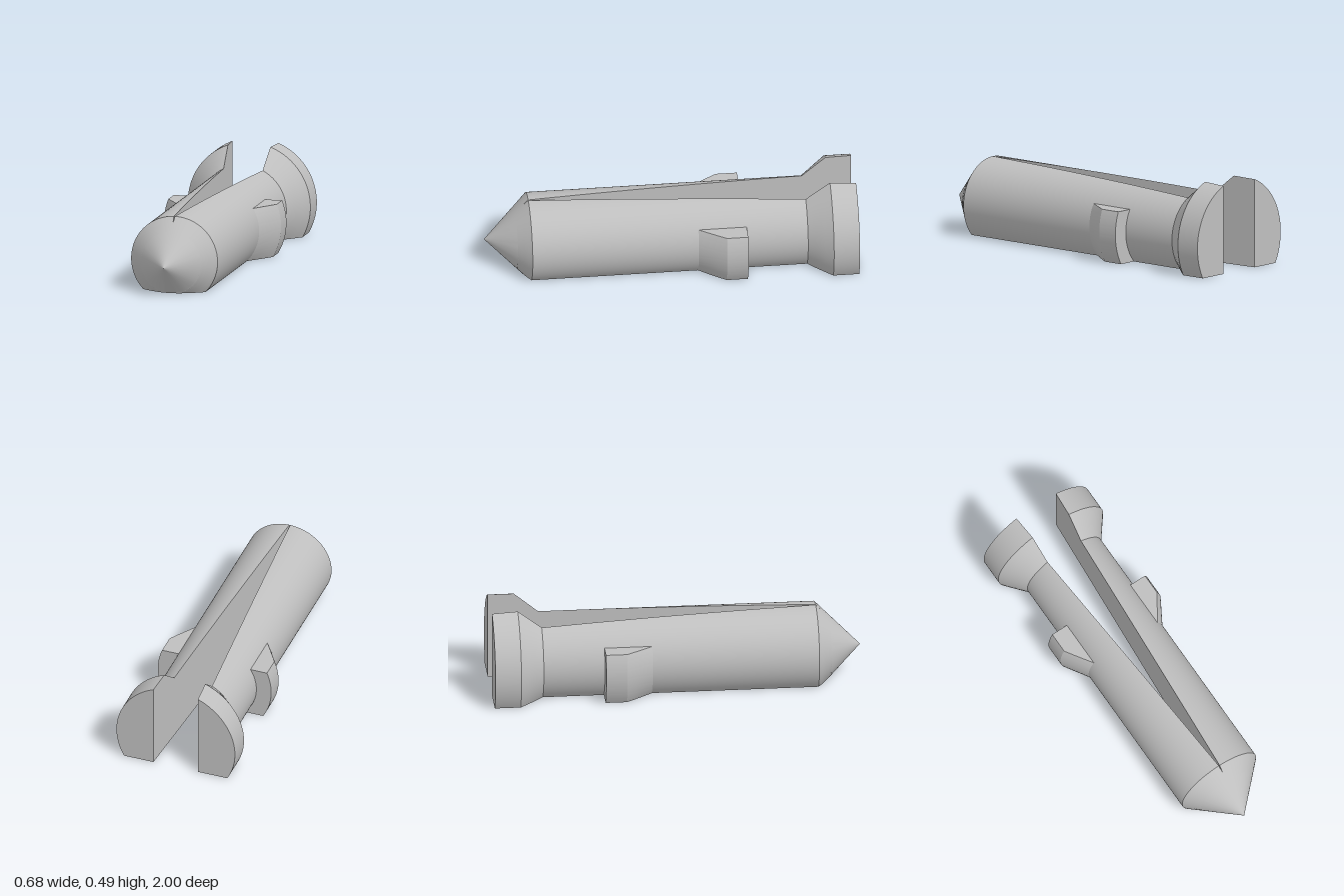
import * as THREE from 'three';
import { toCreasedNormals } from 'three/addons/utils/BufferGeometryUtils.js';

const AXIS = 0.167;      // height of the pin axis above the flat underside
const R = 0.24;          // shank radius
const SLOT_END = 0.795;  // z where the wedge slot closes
const ARC = 36;

const slot = z => Math.max(0, 0.0711 * (SLOT_END - z));

// One half cross-section: flat bottom, round outside, straight inner wall
function section(z, r, inner, top) {
  const a0 = r > AXIS ? -Math.asin(AXIS / r) : -Math.PI / 2;
  const a1 = r === 0 ? Math.PI / 2
    : top === undefined ? Math.acos(inner / r) : Math.asin((top - AXIS) / r);
  const pts = [new THREE.Vector3(inner, Math.max(0, AXIS - r), z)];
  for (let i = 0; i <= ARC; i++) {
    const a = a0 + (a1 - a0) * i / ARC;
    pts.push(new THREE.Vector3(r * Math.cos(a), AXIS + r * Math.sin(a), z));
  }
  pts.push(new THREE.Vector3(inner, pts[pts.length - 1].y, z));
  return { pts, inner };
}

// Skin sections running front to back, on both sides of x = 0
function loft(sections) {
  const pos = [];
  const tri = (a, b, c) => {
    const area = b.clone().sub(a).cross(c.clone().sub(a)).length();
    if (area < 1e-9) return;
    for (const p of [a, b, c]) pos.push(p.x, p.y, p.z);
    for (const p of [a, c, b]) pos.push(-p.x, p.y, p.z);
  };
  const n = sections[0].pts.length;
  for (let k = 0; k < sections.length - 1; k++) {
    const A = sections[k], B = sections[k + 1];
    for (let i = 0; i < n; i++) {
      const j = (i + 1) % n;
      if (j === 0 && A.inner === 0 && B.inner === 0) continue; // halves joined here
      tri(A.pts[i], B.pts[i], B.pts[j]);
      tri(A.pts[i], B.pts[j], A.pts[j]);
    }
  }
  const front = sections[0].pts, back = sections[sections.length - 1].pts;
  for (let i = 1; i < n - 1; i++) {
    tri(front[0], front[i], front[i + 1]);
    tri(back[0], back[i + 1], back[i]);
  }
  const g = new THREE.BufferGeometry();
  g.setAttribute('position', new THREE.Float32BufferAttribute(pos, 3));
  return toCreasedNormals(g, 0.4);
}

export function createModel() {
  const group = new THREE.Group();
  const grey = new THREE.MeshStandardMaterial({ color: 0xbfbfbf });
  grey.name = 'plain grey';
  const add = (name, sections) => {
    const mesh = new THREE.Mesh(loft(sections), grey);
    mesh.name = name;
    group.add(mesh);
  };

  // Pointed tip and split shank
  const shank = [0, AXIS, 0.169, 0.175, 0.185, 0.205, 0.22, R]
    .map(r => section(1 - r, r, slot(1 - r)));
  for (let i = 1; i <= 12; i++) {
    const z = 0.76 - 1.49 * i / 12;
    shank.push(section(z, R, slot(z)));
  }
  add('splitShank', shank);

  // Flared head at the rear
  add('flaredHead', [[-0.73, R], [-0.773, 0.273], [-0.817, 0.307], [-0.86, 0.34], [-1, 0.34]]
    .map(([z, r]) => section(z, r, slot(z))));

  // Ramped side barbs
  add('sideBarbs', [[-0.14, R], [-0.188, 0.268], [-0.237, 0.297], [-0.285, 0.325], [-0.4, 0.325]]
    .map(([z, r]) => section(z, r, 0.15, 0.29)));

  return group;
}
